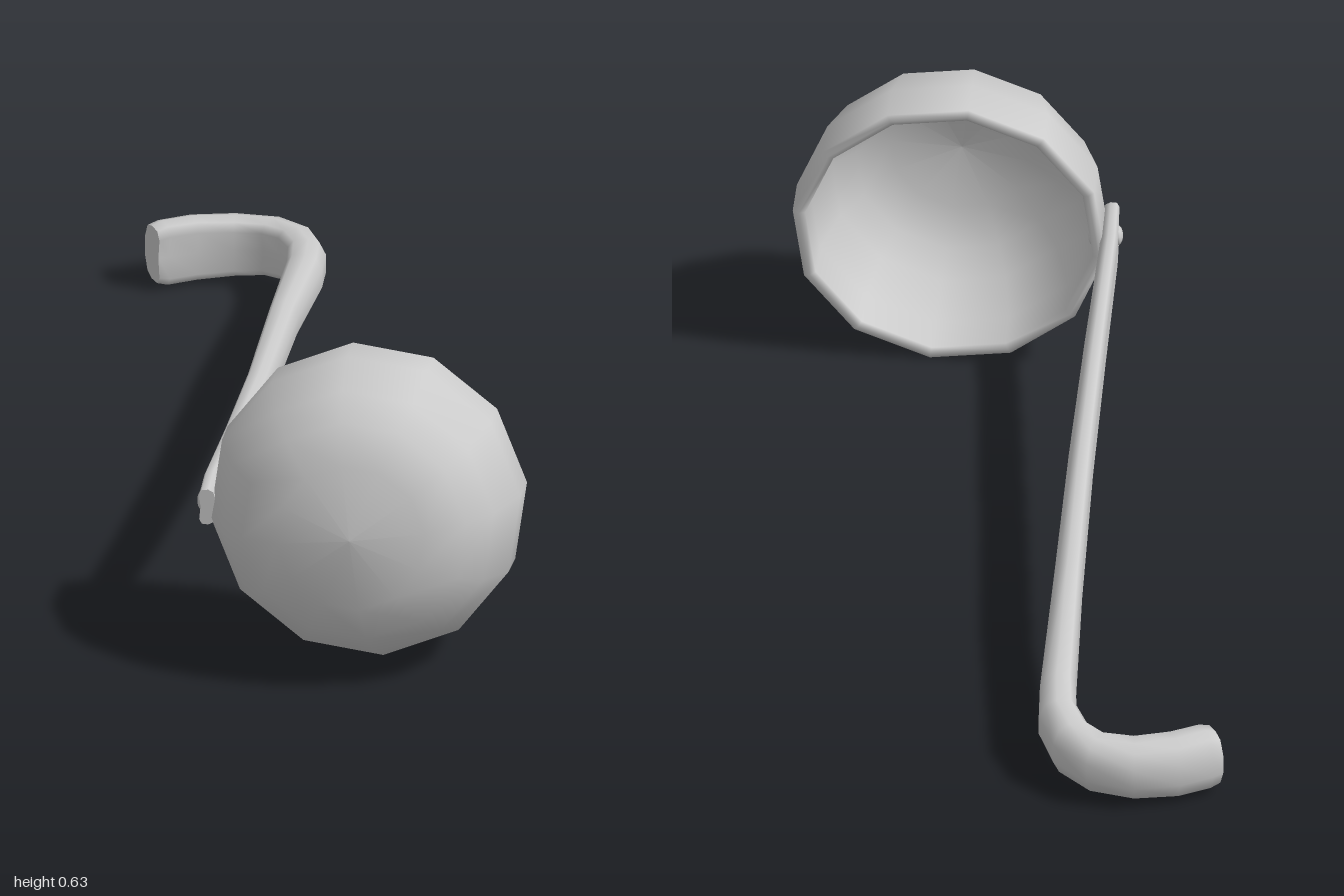
import * as THREE from 'three';

const material = new THREE.MeshStandardMaterial({ color: 0xcccccc });

// Half of the handle section [side, up]; mirrored below. +side is the outside of the hook.
const half = [[1, 0.35], [0.65, 0.85], [0.05, 1], [-0.7, 0.97], [-1, 0.7]];
const section = [...half, [-0.85, 0], ...half.slice().reverse().map(([s, u]) => [s, -u])];

// Sweeps the section along stations [x, y, z, halfThickness, halfHeight].
function sweep(stations) {
  const n = section.length;
  const up = new THREE.Vector3(0, 1, 0);
  const centres = stations.map(([x, y, z]) => new THREE.Vector3(x, y, z));
  const pos = [];
  const idx = [];
  const last = stations.length - 1;
  const rings = stations.map(([, , , thick, high], i) => {
    const t = centres[Math.min(i + 1, last)].clone().sub(centres[Math.max(i - 1, 0)]).setY(0).normalize();
    const side = t.cross(up);
    return section.map(([s, u]) => centres[i].clone().addScaledVector(side, s * thick).addScaledVector(up, u * high));
  });
  rings.forEach((ring) => ring.forEach((p) => pos.push(p.x, p.y, p.z)));
  for (let i = 0; i < last; i++) {
    for (let j = 0; j < n; j++) {
      const a = i * n + j, b = i * n + (j + 1) % n;
      idx.push(a, a + n, b, b, a + n, b + n);
    }
  }
  // Flat end caps with their own vertices, so the ends stay crisp
  for (const [i, flip] of [[0, false], [last, true]]) {
    const base = pos.length / 3;
    [centres[i], ...rings[i]].forEach((p) => pos.push(p.x, p.y, p.z));
    for (let j = 0; j < n; j++) {
      const a = base + 1 + j, b = base + 1 + (j + 1) % n;
      idx.push(base, flip ? b : a, flip ? a : b);
    }
  }
  const geo = new THREE.BufferGeometry();
  geo.setAttribute('position', new THREE.Float32BufferAttribute(pos, 3));
  geo.setIndex(idx);
  geo.computeVertexNormals();
  return geo;
}

export function createModel() {
  const model = new THREE.Group();
  const add = (name, geo) => {
    const mesh = new THREE.Mesh(geo, material);
    mesh.name = name;
    model.add(mesh);
    return mesh;
  };

  // Twelve-sided bowl: inner wall, rim, outer wall; opening tilted towards the back
  const profile = [
    [0, 0.29], [0.14, 0.275], [0.205, 0.222], [0.25, 0.175], [0.286, 0.085], [0.288, 0.006],
    [0.3, 0], [0.313, 0.006], [0.312, 0.09], [0.274, 0.19], [0.226, 0.245], [0.15, 0.295], [0, 0.312],
  ].map(([r, t]) => new THREE.Vector2(r, t));
  const bowl = add('bowl', new THREE.LatheGeometry(profile, 12, THREE.MathUtils.degToRad(3)));
  bowl.position.set(0.12, 0.315, 0.68);
  bowl.quaternion.setFromUnitVectors(
    new THREE.Vector3(0, 1, 0), new THREE.Vector3(-0.08, 0.11, 1).normalize());

  // Handle: thin at the bowl, thicker towards the hook
  add('handle', sweep([
    [-0.2, 0.308, 0.76, 0.017, 0.038],
    [-0.196, 0.298, 0.65, 0.018, 0.04],
    [-0.172, 0.255, 0.35, 0.021, 0.043],
    [-0.147, 0.21, 0, 0.024, 0.045],
    [-0.125, 0.17, -0.4, 0.028, 0.046],
    [-0.107, 0.112, -0.73, 0.035, 0.052],
    [-0.108, 0.101, -0.82, 0.038, 0.055],
    [-0.134, 0.092, -0.895, 0.041, 0.056],
    [-0.185, 0.085, -0.943, 0.043, 0.057],
    [-0.26, 0.08, -0.956, 0.044, 0.06],
    [-0.34, 0.079, -0.941, 0.042, 0.064],
    [-0.4, 0.079, -0.912, 0.039, 0.065],
    [-0.42, 0.079, -0.902, 0.037, 0.058],
  ]));

  // Rivet heads outside the handle and inside the bowl
  for (const [name, x, dir] of [['outerRivet', -0.214, -1], ['innerRivet', -0.165, 1]]) {
    const rivet = add(name, new THREE.SphereGeometry(0.02, 10, 5, 0, Math.PI * 2, 0, Math.PI / 2));
    rivet.scale.y = 0.5;
    rivet.rotation.z = -dir * Math.PI / 2;
    rivet.position.set(x, 0.3, 0.71);
  }
  return model;
}
